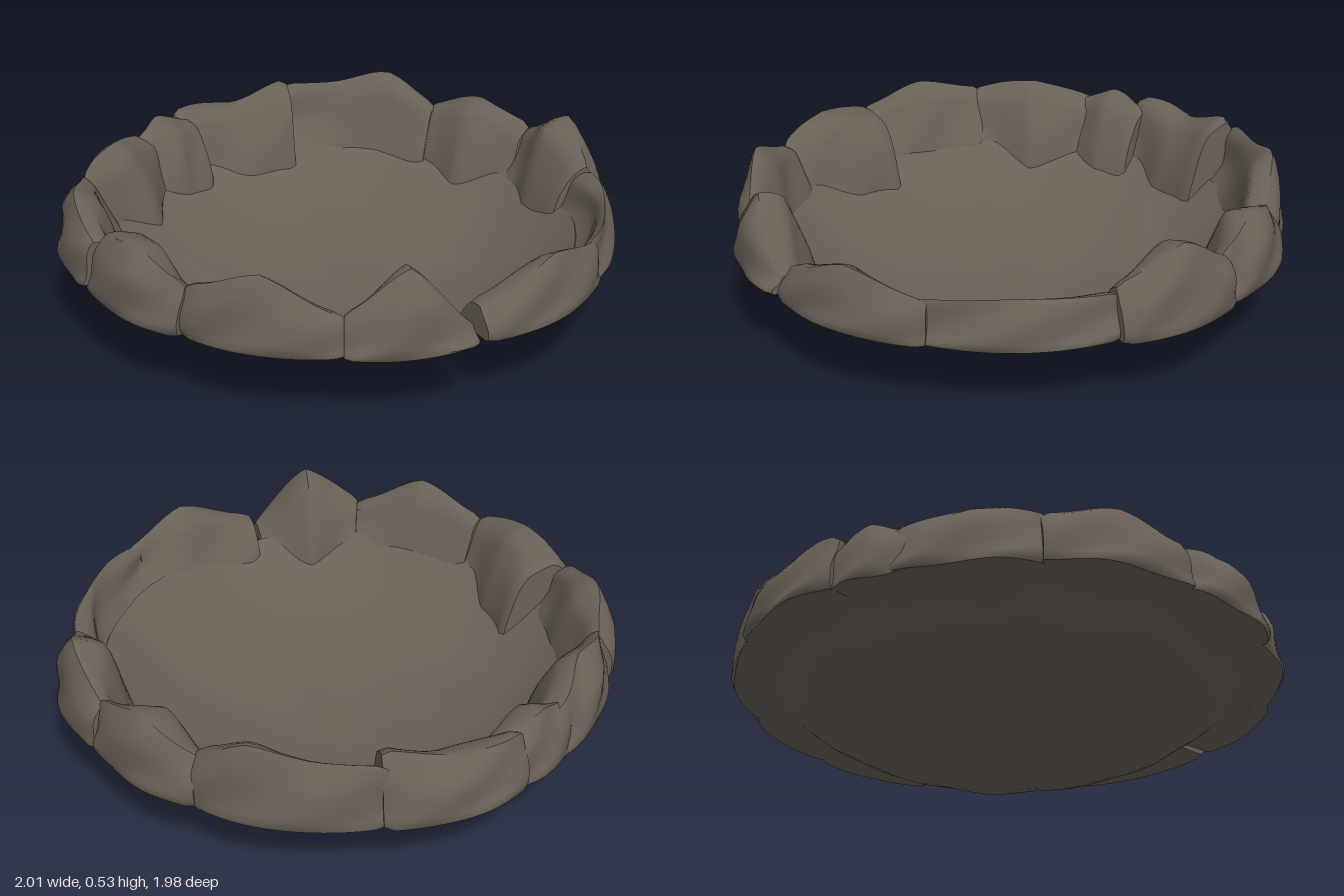
import * as THREE from 'three';
import { mergeVertices, toCreasedNormals } from 'three/addons/utils/BufferGeometryUtils.js';

const RIM_RADIUS = 0.84, SEAT = 0.25;

// the basin steepens steadily towards its rim
const bowlHeight = (r) => 0.005 + 0.425 * Math.pow(Math.min(r, RIM_RADIUS), 3);

// smoothly eased value at t (0..1) along evenly spaced keys
function along(keys, t) {
  const f = t * (keys.length - 1);
  const i = Math.min(Math.floor(f), keys.length - 2);
  const eased = THREE.MathUtils.smoothstep(f - i, 0, 1);
  return THREE.MathUtils.lerp(keys[i], keys[i + 1], (f - i + eased) / 2);
}

// shallow, slightly uneven basin with an inner and an outer skin
function makeBowl() {
  const outer = [], inner = [];
  for (let i = 0; i <= 10; i++) {
    const r = RIM_RADIUS * i / 10;
    outer.push(new THREE.Vector2(r, bowlHeight(r)));
    inner.unshift(new THREE.Vector2(r * 0.99, bowlHeight(r) + 0.018));
  }
  const g = new THREE.LatheGeometry([...outer, ...inner], 56);
  g.deleteAttribute('uv');
  g.deleteAttribute('normal');
  const p = g.attributes.position;
  for (let i = 0; i < p.count; i++) {
    const x = p.getX(i), z = p.getZ(i);
    const k = Math.min(1, Math.hypot(x, z) * 2);
    p.setY(i, p.getY(i) + k * (0.005 * Math.sin(x * 9 + 1) * Math.sin(z * 8) + 0.004 * Math.sin(x * 17 - z * 13)));
  }
  return toCreasedNormals(mergeVertices(g, 1e-4), 1.0);
}

// stone lofted along an arc: end angles in degrees, outer radius, inner radii, ridge heights
function makeStone([a0, a1, outer, inner, ridge], seed) {
  const SECTIONS = 16, RING = 24;
  const pos = [], idx = [];
  for (let i = 0; i <= SECTIONS; i++) {
    const t = i / SECTIONS;
    const a = THREE.MathUtils.degToRad(a0 + (a1 - a0) * t);
    const rO = outer - 0.02 * (2 * t - 1) ** 2;
    const rI = along(inner, t), h = along(ridge, t);
    const w = rO - rI, H = h - SEAT;
    const lean = 0.05 * Math.sin(seed * 2.3 + t * 5);
    // the foot always reaches down onto the basin
    const foot = Math.min(rI - 0.025, RIM_RADIUS - 0.05);
    const corners = [
      [rO, SEAT],
      [rO, SEAT + H * 0.25],
      [rO - 0.015, SEAT + H * 0.65],
      [rO - w * (0.33 + lean), h],
      [rI + w * 0.3, h - H * (0.16 + lean)],
      [rI + w * 0.06, SEAT + H * 0.35],
      [foot, bowlHeight(foot) + 0.01],
      [RIM_RADIUS, SEAT],
    ].map(([r, y]) => new THREE.Vector3(r, y, 0));
    const curve = new THREE.CatmullRomCurve3(corners, true, 'catmullrom', 0.28);
    // tuck the end sections in a little to round the stone
    const tuck = i === 0 || i === SECTIONS ? 0.9 : 1;
    const cr = (rI + rO) / 2, cy = SEAT + H * 0.25;
    for (let j = 0; j < RING; j++) {
      const q = curve.getPoint(j / RING);
      const bump = 0.006 * Math.sin(seed * 3 + t * 9 + j * Math.PI * 6 / RING);
      const r = cr + (q.x - cr) * tuck + bump;
      const y = cy + (q.y - cy) * tuck + bump * 0.6;
      pos.push(r * Math.cos(a), y, r * Math.sin(a));
    }
  }
  for (let i = 0; i < SECTIONS; i++) {
    for (let j = 0; j < RING; j++) {
      const A = i * RING + j, B = i * RING + (j + 1) % RING;
      idx.push(A, B, A + RING, B, B + RING, A + RING);
    }
  }
  // end caps
  for (const s of [0, SECTIONS]) {
    const c = [0, 0, 0], base = s * RING, centre = pos.length / 3;
    for (let j = 0; j < RING; j++) {
      for (let n = 0; n < 3; n++) c[n] += pos[(base + j) * 3 + n] / RING;
      const A = base + j, B = base + (j + 1) % RING;
      if (s === 0) idx.push(centre, B, A);
      else idx.push(centre, A, B);
    }
    pos.push(...c);
  }
  const g = new THREE.BufferGeometry();
  g.setAttribute('position', new THREE.Float32BufferAttribute(pos, 3));
  g.setIndex(idx);
  return toCreasedNormals(g, 0.8);
}

const STONES = [
  [-14, 14, 1.0, [0.85, 0.77, 0.8], [0.42, 0.53, 0.43]],
  [13, 54, 0.965, [0.83, 0.87, 0.89], [0.4, 0.42, 0.4]],
  [51, 87, 0.985, [0.89, 0.82, 0.79], [0.4, 0.46, 0.36]],
  [89, 115, 0.985, [0.84, 0.75, 0.83], [0.31, 0.53, 0.39]],
  [115, 148, 0.97, [0.84, 0.81, 0.82], [0.38, 0.5, 0.42]],
  [148, 177, 0.985, [0.83, 0.73, 0.69], [0.42, 0.48, 0.44]],
  [177, 208, 1.0, [0.84, 0.8, 0.83], [0.42, 0.48, 0.45]],
  [206, 238, 0.97, [0.85, 0.73, 0.8], [0.44, 0.49, 0.42]],
  [233, 253, 0.965, [0.82, 0.75, 0.76], [0.42, 0.47, 0.43]],
  [250, 281, 0.99, [0.84, 0.75, 0.75], [0.46, 0.45, 0.51]],
  [280, 320, 0.975, [0.88, 0.82, 0.79], [0.48, 0.49, 0.53, 0.43]],
  [318, 347, 0.985, [0.81, 0.74, 0.84], [0.42, 0.49, 0.43]],
];

export function createModel() {
  const model = new THREE.Group();
  model.name = 'stoneFirePit';
  const stone = new THREE.MeshStandardMaterial({ color: 0x696057 });
  stone.name = 'brownGreyStone';

  const bowl = new THREE.Mesh(makeBowl(), stone);
  bowl.name = 'bowl';
  model.add(bowl);

  // ring of rim stones
  const rim = new THREE.Group();
  rim.name = 'rimStones';
  STONES.forEach((s, i) => {
    const mesh = new THREE.Mesh(makeStone(s, i + 1), stone);
    mesh.name = `rimStone${i + 1}`;
    rim.add(mesh);
  });
  model.add(rim);
  return model;
}
